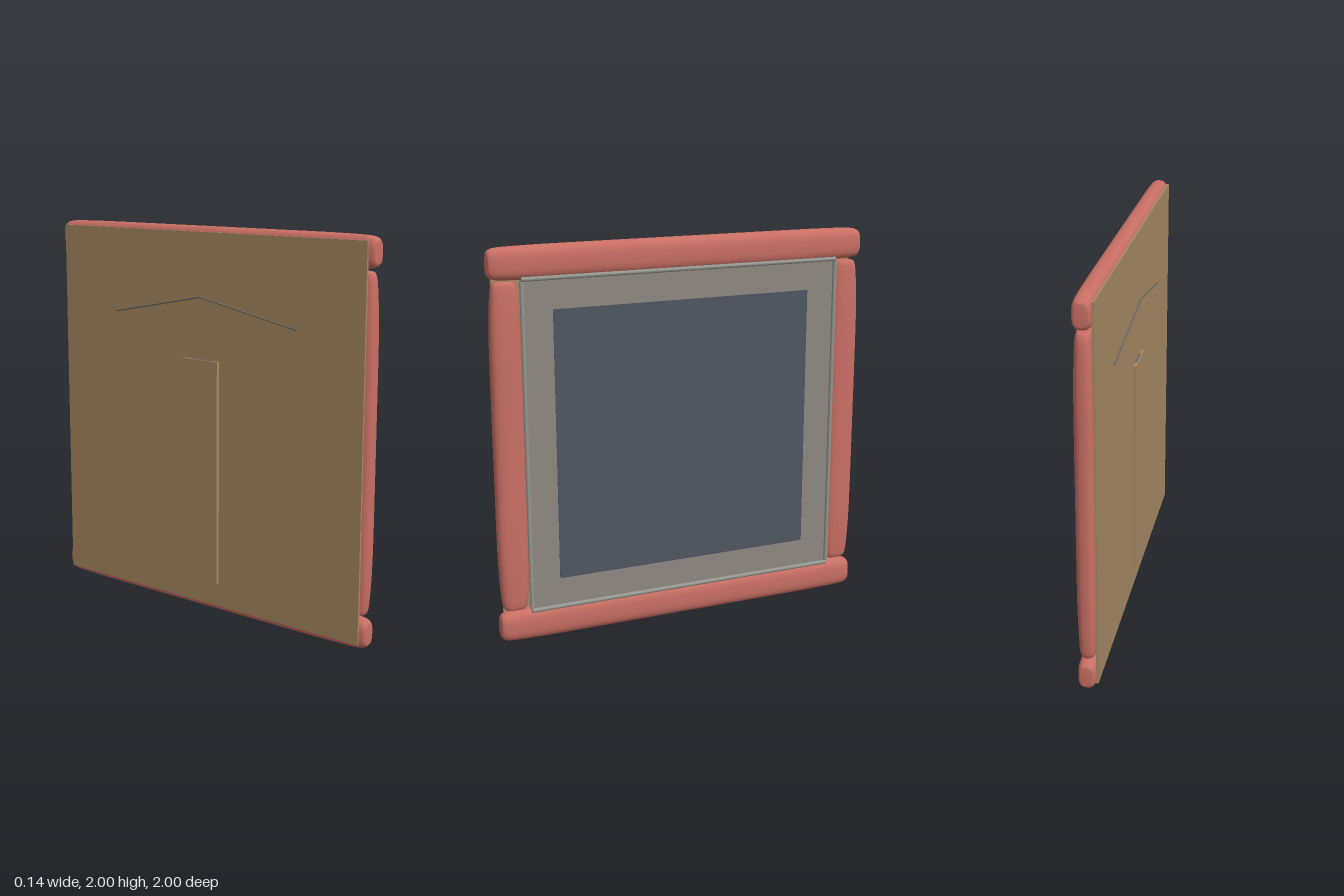
import * as THREE from 'three';

const mat = (name, color, side = THREE.FrontSide) => {
  const m = new THREE.MeshStandardMaterial({ color, side });
  m.name = name;
  return m;
};

// Padded rail along Y: superellipse sections swept through tapering stations.
// ax, bz are half sizes; each station is [position 0..1, inset scale].
function railGeometry(half, ax, bz, stations) {
  const N = 32;
  const rows = [...stations.map(([p, s]) => [-p, s]), ...stations.slice().reverse()];
  const pos = [], idx = [];
  for (const [p, s] of rows) {
    for (let i = 0; i < N; i++) {
      const a = (i / N) * Math.PI * 2, c = Math.cos(a), d = Math.sin(a);
      pos.push(
        Math.sign(c) * Math.abs(c) ** 0.75 * ax * s,
        p * half,
        Math.sign(d) * Math.abs(d) ** 0.7 * bz * s
      );
    }
  }
  for (let r = 0; r < rows.length - 1; r++) {
    for (let i = 0; i < N; i++) {
      const j = (i + 1) % N, a = r * N + i, b = r * N + j;
      idx.push(a, a + N, b, b, a + N, b + N);
    }
  }
  // end caps
  const first = pos.length / 3;
  pos.push(0, -half, 0, 0, half, 0);
  const last = (rows.length - 1) * N;
  for (let i = 0; i < N; i++) {
    const j = (i + 1) % N;
    idx.push(first, i, j, first + 1, last + j, last + i);
  }
  const g = new THREE.BufferGeometry();
  g.setAttribute('position', new THREE.Float32BufferAttribute(pos, 3));
  g.setIndex(idx);
  g.computeVertexNormals();
  return g;
}

export function createModel() {
  const group = new THREE.Group();
  group.name = 'pictureFrame';
  const red = mat('padded red', 0xc96f64);
  const grey = mat('mount grey', 0x8f8880);
  const lipGrey = mat('lip grey', 0x94968e);
  const blue = mat('picture blue', 0x4e5761);
  const brown = mat('backing brown', 0xa68862);
  const wireGrey = mat('wire grey', 0x6f6a62);

  const add = (name, geo, material, x, y, z) => {
    const m = new THREE.Mesh(geo, material);
    m.name = name;
    m.position.set(x, y, z);
    group.add(m);
    return m;
  };
  const box = (name, material, x, y, z, w, h, d) =>
    add(name, new THREE.BoxGeometry(w, h, d), material, x, y, z);

  // padded rails
  const longRail = railGeometry(1, 0.05, 0.082,
    [[1, 0.6], [0.997, 0.7], [0.988, 0.82], [0.97, 0.9], [0.94, 0.945], [0.88, 0.97], [0.75, 0.995], [0.6, 1]]);
  const sideRail = railGeometry(0.83, 0.049, 0.079,
    [[1, 0.5], [0.997, 0.62], [0.986, 0.73], [0.965, 0.8], [0.93, 0.85], [0.85, 0.91], [0.75, 0.96], [0.62, 0.99], [0.45, 1]]);
  for (const s of [-1, 1]) {
    const rail = add(s > 0 ? 'topRail' : 'bottomRail', longRail, red, 0.01, 1 + s * 0.918, 0);
    rail.rotation.x = Math.PI / 2;
    add(s > 0 ? 'leftRail' : 'rightRail', sideRail, red, 0.01, 1, s * 0.921);
  }

  // mount and picture
  box('mount', grey, 0.035, 1.003, 0, 0.02, 1.68, 1.69);
  box('picture', blue, 0.0445, 1, 0, 0.004, 1.38, 1.38);

  // thin rounded lip around the mount
  const lipV = new THREE.CylinderGeometry(0.011, 0.011, 1.66, 12);
  const lipH = new THREE.CylinderGeometry(0.011, 0.011, 1.69, 12);
  for (const s of [-1, 1]) {
    add('lipSide', lipV, lipGrey, 0.054, 1.003, s * 0.844);
    add(s > 0 ? 'lipTop' : 'lipBottom', lipH, lipGrey, 0.054, 1.003 + s * 0.841, 0)
      .rotation.x = Math.PI / 2;
  }

  // backing panel and support strut
  box('backPanel', brown, -0.038, 1.003, 0, 0.012, 1.94, 1.94);
  box('strut', brown, -0.056, 0.745, 0, 0.018, 1.17, 0.22);
  const hinge = add('strutHinge', new THREE.CylinderGeometry(0.007, 0.007, 0.12, 12),
    wireGrey, -0.053, 1.327, 0);
  hinge.rotation.x = Math.PI / 2;

  // hanging wire, two straight runs meeting at the middle
  const peak = new THREE.Vector3(-0.069, 1.65, 0);
  for (const s of [-1, 1]) {
    const end = new THREE.Vector3(-0.052, 1.535, s * 0.585);
    const run = new THREE.TubeGeometry(new THREE.LineCurve3(end, peak), 1, 0.005, 8);
    add('hangingWire', run, wireGrey, 0, 0, 0);
    const cap = add('wireEnd', new THREE.SphereGeometry(0.005, 8, 6), wireGrey, 0, 0, 0);
    cap.position.copy(end);
  }
  return group;
}
